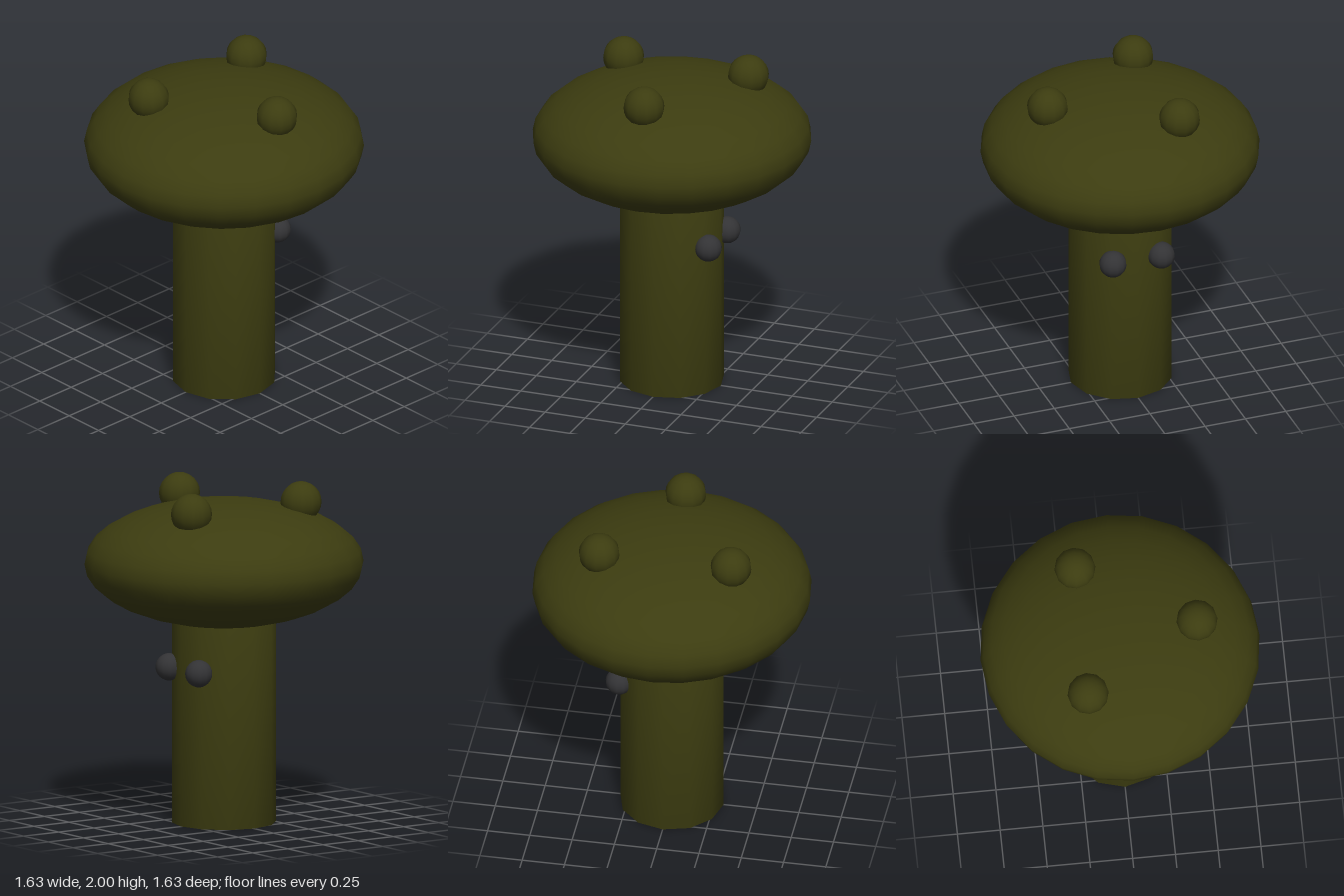
import * as THREE from 'three';
import { mergeVertices } from 'three/addons/utils/BufferGeometryUtils.js';

export function createModel() {
  const olive = new THREE.MeshStandardMaterial({ name: 'darkOlive', color: 0x3c3c10 });
  const black = new THREE.MeshStandardMaterial({ name: 'eyeBlack', color: 0x333335 });
  const model = new THREE.Group();
  model.name = 'mushroom';

  const add = (name, geometry, material, x, y, z) => {
    const mesh = new THREE.Mesh(geometry, material);
    mesh.name = name;
    mesh.position.set(x, y, z);
    model.add(mesh);
    return mesh;
  };

  // Stem: twelve sides, with normals smoothed over the rims
  const stemHeight = 1.22;
  let stem = new THREE.CylinderGeometry(0.305, 0.305, stemHeight, 12);
  stem.deleteAttribute('uv');
  stem.deleteAttribute('normal');
  stem = mergeVertices(stem);
  stem.computeVertexNormals();
  add('stem', stem, olive, 0, stemHeight / 2, 0);

  // Cap: flattened sphere
  const cap = new THREE.SphereGeometry(0.815, 24, 16);
  cap.scale(1, 0.45, 1);
  add('cap', cap, olive, 0, 1.53, 0);

  // Three round bumps spaced evenly on the cap
  const bump = new THREE.SphereGeometry(0.12, 12, 12);
  for (let i = 0; i < 3; i++) {
    const angle = (i * Math.PI * 2) / 3;
    add('capBump' + (i + 1), bump, olive, 0.45 * Math.cos(angle), 1.88, 0.45 * Math.sin(angle));
  }

  // Pair of eyes on the -z side of the stem
  const eye = new THREE.SphereGeometry(0.08, 12, 12);
  for (const side of [1, -1]) {
    add(side > 0 ? 'leftEye' : 'rightEye', eye, black, side * 0.15, 0.92, -0.285);
  }

  return model;
}
